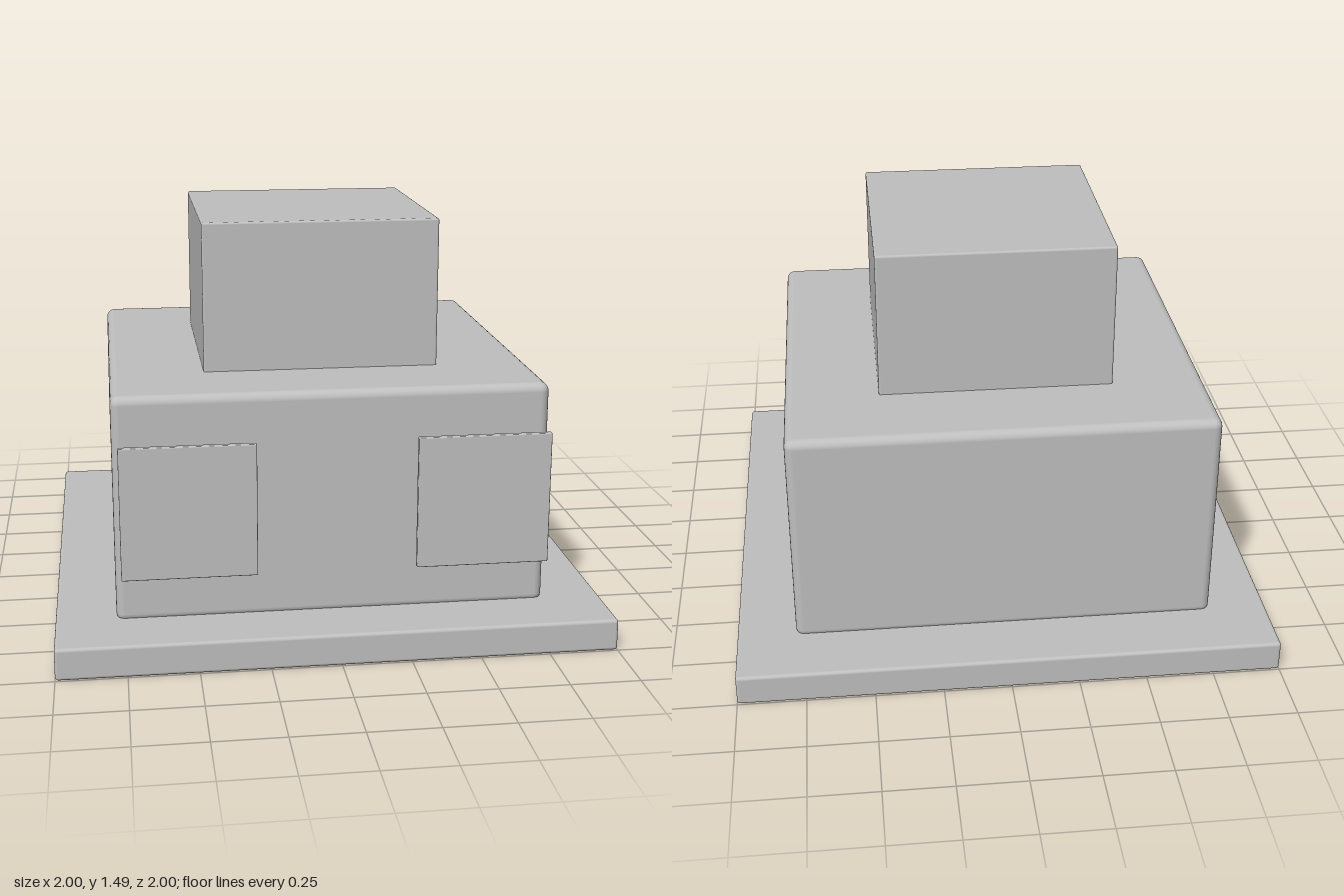
import * as THREE from 'three';
import { RoundedBoxGeometry } from 'three/addons/geometries/RoundedBoxGeometry.js';

export function createModel() {
  const model = new THREE.Group();
  model.name = 'steppedBuilding';

  const grey = new THREE.MeshStandardMaterial({ color: 0xbfbfbf });
  grey.name = 'plain grey';

  // Softly bevelled block given by its low and high corners
  function block(name, [x0, y0, z0], [x1, y1, z1], radius) {
    const geometry = new RoundedBoxGeometry(x1 - x0, y1 - y0, z1 - z0, 3, radius);
    const mesh = new THREE.Mesh(geometry, grey);
    mesh.position.set((x0 + x1) / 2, (y0 + y1) / 2, (z0 + z1) / 2);
    mesh.name = name;
    model.add(mesh);
  }

  // Stacked masses: slab, main volume, upper storey
  block('baseSlab', [-1, 0, -1], [1, 0.117, 1], 0.012);
  block('mainBody', [-0.783, 0.1, -0.762], [0.783, 0.937, 0.762], 0.032);
  block('upperBlock', [-0.436, 0.92, -0.436], [0.436, 1.488, 0.436], 0.008);

  // Pair of floating window frames with a thinner pane behind each
  for (const [side, s] of [['left', 1], ['right', -1]]) {
    const cx = s * 0.523;
    block(side + 'WindowFrame', [cx - 0.239, 0.307, 0.858], [cx + 0.239, 0.788, 0.881], 0.004);
    block(side + 'WindowPane', [cx - 0.194, 0.345, 0.777], [cx + 0.194, 0.75, 0.788], 0.003);
  }

  return model;
}
